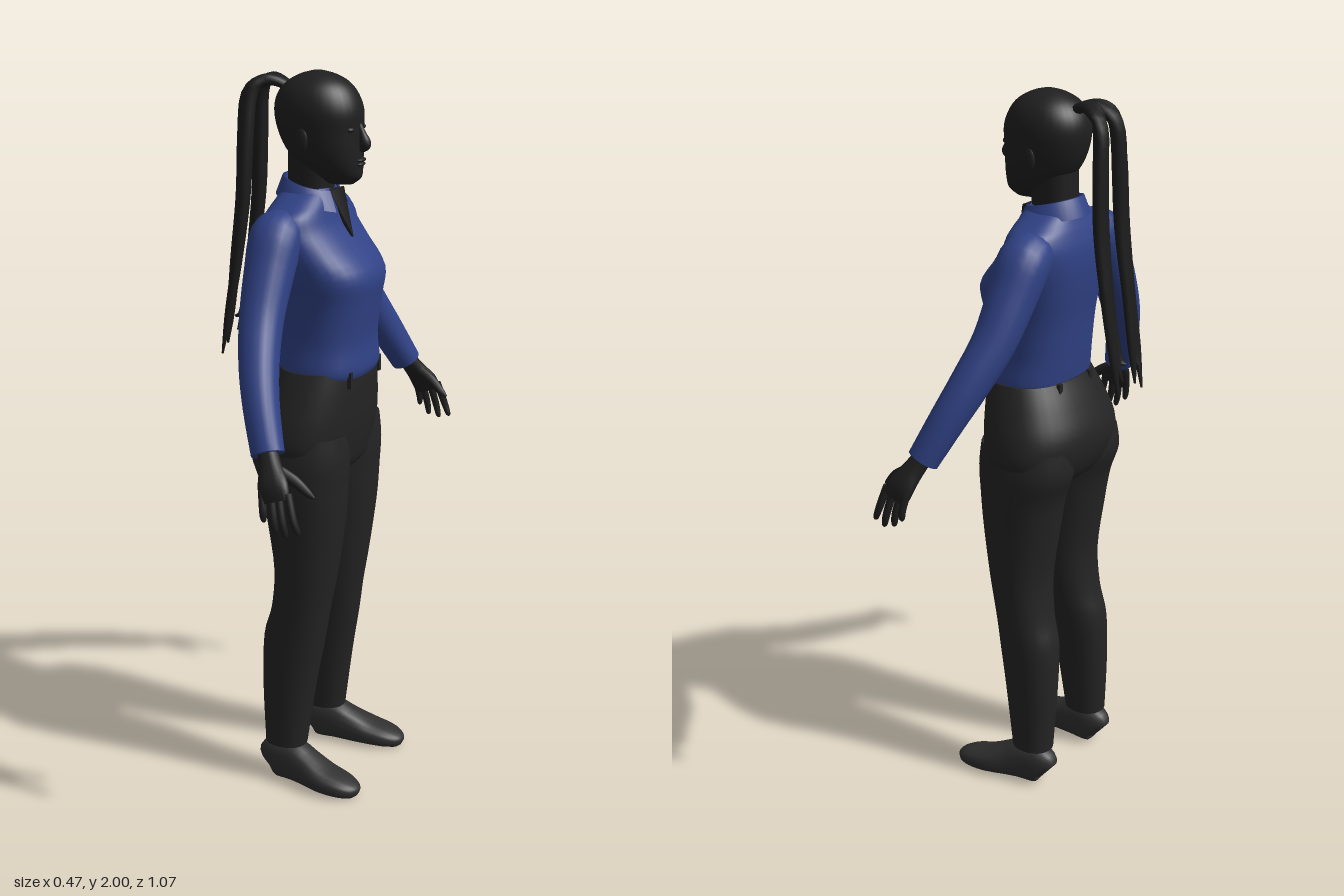
import * as THREE from 'three';

const mat = (name, color, side = THREE.FrontSide) => {
  const m = new THREE.MeshStandardMaterial({ color, side });
  m.name = name;
  return m;
};

// Catmull-Rom resampling of rows of numbers
function smooth(rows, k = 4) {
  const out = [];
  const at = (i) => rows[Math.max(0, Math.min(rows.length - 1, i))];
  for (let i = 0; i < rows.length - 1; i++) {
    const a = at(i - 1), b = at(i), c = at(i + 1), d = at(i + 2);
    for (let j = 0; j < k; j++) {
      const t = j / k;
      out.push(b.map((v, n) => {
        const c1 = c[n] - a[n];
        const c2 = 2 * a[n] - 5 * v + 4 * c[n] - d[n];
        const c3 = 3 * (v - c[n]) + d[n] - a[n];
        return v + 0.5 * t * (c1 + t * (c2 + t * c3));
      }));
    }
  }
  out.push(rows[rows.length - 1]);
  return out;
}

// Skin over rings of points; closed skins get caps and always face outward
function loft(rings, closed = true) {
  const n = rings[0].length, pts = rings.flat(), idx = [];
  for (let i = 0; i < rings.length - 1; i++) {
    for (let j = 0; j < (closed ? n : n - 1); j++) {
      const a = i * n + j, b = i * n + (j + 1) % n;
      idx.push(a, b, a + n, b, b + n, a + n);
    }
  }
  if (closed) {
    [rings[0], rings[rings.length - 1]].forEach((ring, e) => {
      const base = pts.length;
      const mid = ring.reduce((s, p) => s.add(p), new THREE.Vector3()).divideScalar(n);
      pts.push(mid, ...ring);
      for (let j = 0; j < n; j++) {
        const a = base + 1 + j, b = base + 1 + (j + 1) % n;
        idx.push(base, e ? a : b, e ? b : a);
      }
    });
    let volume = 0;
    const c = new THREE.Vector3();
    for (let i = 0; i < idx.length; i += 3) {
      volume += pts[idx[i]].dot(c.crossVectors(pts[idx[i + 1]], pts[idx[i + 2]]));
    }
    if (volume < 0) idx.reverse();
  }
  const g = new THREE.BufferGeometry().setFromPoints(pts);
  g.setIndex(idx);
  g.computeVertexNormals();
  return g;
}

const round = (v, p) => Math.sign(v) * Math.pow(Math.abs(v), 2 / p);

// Upright form from rows [y, back x, front x, low z, high z]
function upright(rows, power = 2.2, seg = 28) {
  const rings = smooth(rows).map(([y, xb, xf, z0, z1]) => Array.from({ length: seg }, (_, i) => {
    const t = i / seg * Math.PI * 2;
    return new THREE.Vector3((xb + xf) / 2 + (xf - xb) / 2 * round(Math.cos(t), power), y,
      (z0 + z1) / 2 + (z1 - z0) / 2 * round(Math.sin(t), power));
  }));
  return loft(rings);
}
const even = (rows) => rows.map(([y, xb, xf, hz]) => [y, xb, xf, -hz, hz]);

// Form along a path from rows [x, y, z, radius along ref, other radius]
function limb(rows, ref, power = 2, seg = 14) {
  const r = smooth(rows), P = r.map((q) => new THREE.Vector3(q[0], q[1], q[2]));
  const rings = r.map((q, i) => {
    const t = P[Math.min(i + 1, P.length - 1)].clone().sub(P[Math.max(i - 1, 0)]).normalize();
    const u = ref.clone().addScaledVector(t, -ref.dot(t)).normalize();
    const v = t.clone().cross(u);
    return Array.from({ length: seg }, (_, j) => {
      const a = j / seg * Math.PI * 2;
      const p = P[i].clone().addScaledVector(u, q[3] * round(Math.cos(a), power))
        .addScaledVector(v, q[4] * round(Math.sin(a), power));
      p.y = Math.max(0, p.y);
      return p;
    });
  });
  return loft(rings);
}

export function createModel() {
  const model = new THREE.Group();
  const X = new THREE.Vector3(1, 0, 0), Z = new THREE.Vector3(0, 0, 1);
  const shirt = mat('shirt blue', 0x304286, THREE.DoubleSide);
  const trousers = mat('trouser charcoal', 0x242424);
  const skin = mat('skin', 0x1f1f1f), hair = mat('hair', 0x1c1c1c);
  const shoe = mat('shoe grey', 0x2f2f2f);
  const add = (name, geo, m) => {
    const mesh = new THREE.Mesh(geo, m);
    mesh.name = name;
    model.add(mesh);
    return mesh;
  };
  const ball = (name, m, p, s) => {
    const b = add(name, new THREE.SphereGeometry(1, 14, 10), m);
    b.position.set(...p);
    b.scale.set(...s);
  };

  // Shirt body
  add('shirtBody', upright(even([
    [1.205, -0.045, 0.185, 0.152], [1.23, -0.05, 0.192, 0.155], [1.3, -0.06, 0.188, 0.146],
    [1.4, -0.072, 0.2, 0.15], [1.48, -0.085, 0.205, 0.166], [1.55, -0.092, 0.15, 0.178],
    [1.6, -0.09, 0.11, 0.182], [1.64, -0.078, 0.092, 0.172], [1.668, -0.066, 0.085, 0.125],
    [1.7, -0.052, 0.074, 0.066],
  ]), 2.5, 36), shirt);

  // Open collar: stand, fold and drooping flap
  const collar = [[0.066, 1.655, 0], [0.068, 1.728, 0.035], [0.076, 1.728, 0.035], [0.094, 1.68, 0.03]];
  const collarRings = collar.map(([r, y, drop], k) => Array.from({ length: 29 }, (_, i) => {
    const t = 0.42 + i / 28 * (Math.PI * 2 - 0.84), f = (1 + Math.cos(t)) / 2;
    const tip = k === 3 ? 0.012 * Math.pow(f, 6) : 0;
    return new THREE.Vector3(0.014 + (r + tip) * Math.cos(t), y - drop * f - tip, (r + tip * 2) * Math.sin(t));
  }));
  add('collar', loft(collarRings, false), shirt);

  // Skin showing in the open neckline
  const neckline = [
    [[0.136, 1.572, 0.003], [0.136, 1.572, -0.003], [0.12, 1.572, 0]],
    [[0.09, 1.695, 0.042], [0.09, 1.695, -0.042], [0.06, 1.695, 0]],
  ].map((ring) => ring.map((p) => new THREE.Vector3(...p)));
  add('necklineSkin', loft(neckline), skin);

  // Hips and waistband loops
  add('trouserHips', upright(even([
    [1.225, -0.052, 0.184, 0.162], [1.16, -0.085, 0.184, 0.188], [1.08, -0.115, 0.18, 0.213],
    [1.01, -0.11, 0.17, 0.216], [0.95, -0.08, 0.155, 0.17], [0.92, -0.03, 0.12, 0.07],
  ]), 2.3, 36), trousers);
  for (const [x, z] of [[0.172, 0.095], [0.172, -0.095], [-0.05, 0.07], [-0.05, -0.07]]) {
    add('beltLoop', new THREE.BoxGeometry(0.012, 0.045, 0.014), trousers).position.set(x, 1.205, z);
  }

  // Head and neck
  add('neck', upright(even([
    [1.6, -0.05, 0.08, 0.06], [1.7, -0.048, 0.076, 0.056], [1.8, -0.046, 0.08, 0.062],
  ])), skin);
  add('head', upright(even([
    [1.712, 0.06, 0.135, 0.026], [1.73, 0.03, 0.156, 0.045], [1.76, -0.015, 0.158, 0.068],
    [1.8, -0.052, 0.157, 0.085], [1.85, -0.075, 0.156, 0.095], [1.9, -0.083, 0.156, 0.1],
    [1.94, -0.074, 0.142, 0.092], [1.97, -0.05, 0.118, 0.073], [1.99, -0.015, 0.083, 0.043],
    [2, 0.02, 0.048, 0.012],
  ]), 2.1, 32), skin);
  add('nose', limb([
    [0.148, 1.872, 0, 0.007, 0.008], [0.16, 1.845, 0, 0.01, 0.01],
    [0.168, 1.818, 0, 0.015, 0.016], [0.156, 1.802, 0, 0.008, 0.008],
  ], Z), skin);
  ball('upperLip', skin, [0.156, 1.777, 0], [0.011, 0.006, 0.024]);
  ball('lowerLip', skin, [0.156, 1.766, 0], [0.01, 0.006, 0.021]);

  // Ponytail: strands arch off the crown and fall in two locks
  [-1, -0.7, -0.4, 0.4, 0.7, 1].forEach((s, i) => {
    const d = (i % 3 - 1) * 0.012, end = 1.22 + (i * 2 % 5) * 0.022;
    add('ponytailStrand', limb([
      [-0.03, 1.94, 0, 0.014, 0.014], [-0.075, 1.966, 0.012 * s, 0.016, 0.014],
      [-0.115, 1.968, 0.03 * s, 0.018, 0.016], [-0.15 + d, 1.93, 0.05 * s, 0.02, 0.018],
      [-0.158 + d, 1.82, 0.062 * s, 0.022, 0.02], [-0.165 + d, 1.66, 0.068 * s, 0.022, 0.018],
      [-0.188 + d, 1.48, 0.07 * s, 0.019, 0.014], [-0.212 + d / 2, 1.33, 0.064 * s, 0.014, 0.01],
      [-0.23, end, 0.055 * s, 0.003, 0.003],
    ], Z, 2, 8), hair);
  });

  for (const s of [1, -1]) {
    const side = s > 0 ? 'right' : 'left';
    const mir = (rows) => rows.map(([x, y, z, a, b]) => [x, y, z * s, a, b]);

    // Ear and eye
    ball(side + 'Ear', skin, [0.03, 1.835, 0.092 * s], [0.017, 0.032, 0.009]);
    ball(side + 'Eye', skin, [0.14, 1.858, 0.036 * s], [0.012, 0.008, 0.016]);

    // Sleeve
    add(side + 'Sleeve', limb(mir([
      [-0.005, 1.605, 0.11, 0.06, 0.05], [-0.008, 1.587, 0.165, 0.071, 0.069],
      [-0.005, 1.51, 0.215, 0.066, 0.064], [0.005, 1.4, 0.282, 0.058, 0.057],
      [0.032, 1.3, 0.352, 0.052, 0.053], [0.065, 1.21, 0.407, 0.047, 0.048],
      [0.108, 1.105, 0.458, 0.043, 0.04],
    ]), X, 2.1, 20), shirt);

    // Palm, fingers and thumb
    add(side + 'Palm', limb(mir([
      [0.105, 1.12, 0.455, 0.026, 0.022], [0.125, 1.08, 0.478, 0.03, 0.022],
      [0.145, 1.04, 0.505, 0.041, 0.02], [0.158, 1.005, 0.516, 0.04, 0.014],
    ]), X, 2.4), skin);
    [[0.194, 1.01, 0.222, 0.928], [0.17, 1.003, 0.19, 0.918],
      [0.147, 1.003, 0.16, 0.925], [0.124, 1.012, 0.13, 0.95]].forEach(([x0, y0, x1, y1], i) => {
      const z = 0.51 + 0.004 * (i % 2);
      add(side + 'Finger', limb(mir([
        [x0 - 0.005, y0 + 0.02, z, 0.011, 0.011], [(x0 + x1) / 2, (y0 + y1) / 2, z + 0.012, 0.0105, 0.01],
        [x1 - 0.001, y1 + 0.008, z + 0.012, 0.008, 0.008], [x1, y1, z + 0.011, 0.003, 0.003],
      ]), X, 2, 8), skin);
    });
    add(side + 'Thumb', limb(mir([
      [0.14, 1.075, 0.475, 0.014, 0.016], [0.185, 1.05, 0.468, 0.014, 0.015],
      [0.218, 1.022, 0.462, 0.011, 0.011], [0.237, 1.008, 0.46, 0.004, 0.004],
    ]), Z, 2, 10), skin);

    // Trouser leg
    add(side + 'TrouserLeg', upright([
      [1.05, -0.1, 0.165, 0.01, 0.205], [0.98, -0.104, 0.17, 0, 0.217], [0.9, -0.076, 0.166, 0.002, 0.214],
      [0.8, -0.058, 0.16, 0.01, 0.206], [0.65, -0.036, 0.14, 0.022, 0.197], [0.53, -0.045, 0.12, 0.036, 0.192],
      [0.44, -0.068, 0.108, 0.048, 0.19], [0.3, -0.07, 0.085, 0.065, 0.188], [0.115, -0.06, 0.06, 0.082, 0.184],
    ].map(([y, a, b, c, d]) => [y, a, b, c * s, d * s]), 2.2, 24), trousers);

    // Shoe
    add(side + 'Shoe', limb(mir([
      [-0.056, 0.045, 0.135, 0.022, 0.035], [-0.035, 0.058, 0.136, 0.04, 0.058],
      [0.02, 0.062, 0.14, 0.046, 0.062], [0.07, 0.05, 0.147, 0.05, 0.05],
      [0.13, 0.035, 0.158, 0.056, 0.036], [0.19, 0.026, 0.163, 0.05, 0.027],
      [0.225, 0.019, 0.163, 0.032, 0.019], [0.237, 0.015, 0.163, 0.012, 0.01],
    ]), Z, 2.5, 20), shoe);
  }
  return model;
}
